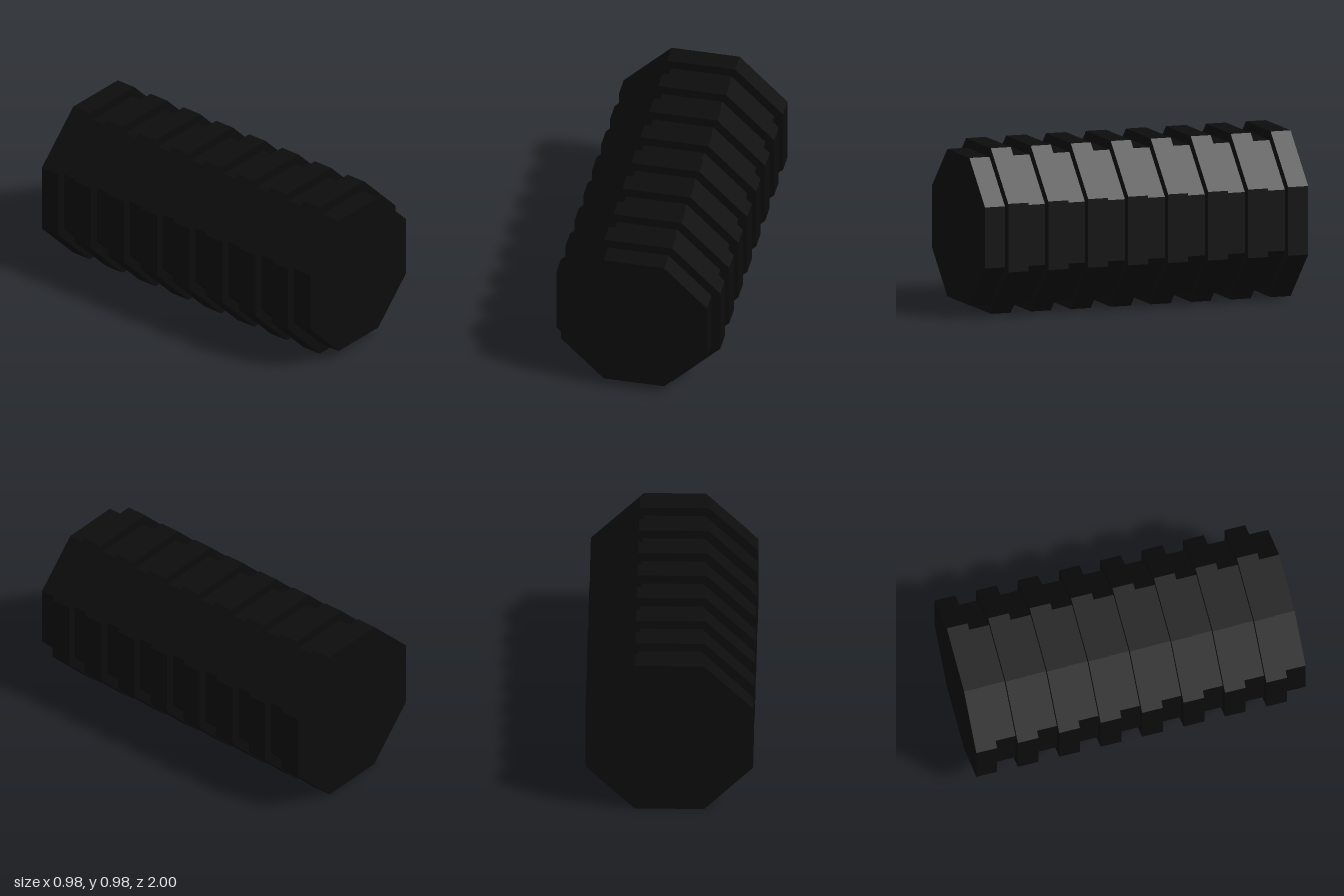
import * as THREE from 'three';

const APOTHEM = 0.49, GROOVE_APOTHEM = 0.436, STEP = 0.125, CENTRE_Y = 0.49;

// Octagonal prism along z with flat sides facing up, down, left and right
function octagonPrism(apothem, zFront, zBack) {
  const radius = apothem / Math.cos(Math.PI / 8);
  const geometry = new THREE.CylinderGeometry(radius, radius, zFront - zBack, 8, 1, false, Math.PI / 8);
  geometry.rotateX(Math.PI / 2);
  geometry.translate(0, CENTRE_Y, (zFront + zBack) / 2);
  return geometry;
}

export function createModel() {
  const group = new THREE.Group();
  group.name = 'ribbedGrip';
  const black = new THREE.MeshStandardMaterial({ color: 0x0c0c0c, flatShading: true });
  black.name = 'black';

  const add = (name, geometry) => {
    const mesh = new THREE.Mesh(geometry, black);
    mesh.name = name;
    group.add(mesh);
  };

  // Narrow core, ending inside the rearmost rib
  add('core', octagonPrism(GROOVE_APOTHEM, 1, -0.95));

  // Raised ribs alternating with grooves, the last one flush with the back
  for (let i = 0; i < 8; i++) {
    const zFront = 1 - STEP * (2 * i + 1);
    add(`rib${i + 1}`, octagonPrism(APOTHEM, zFront, zFront - STEP));
  }
  return group;
}
